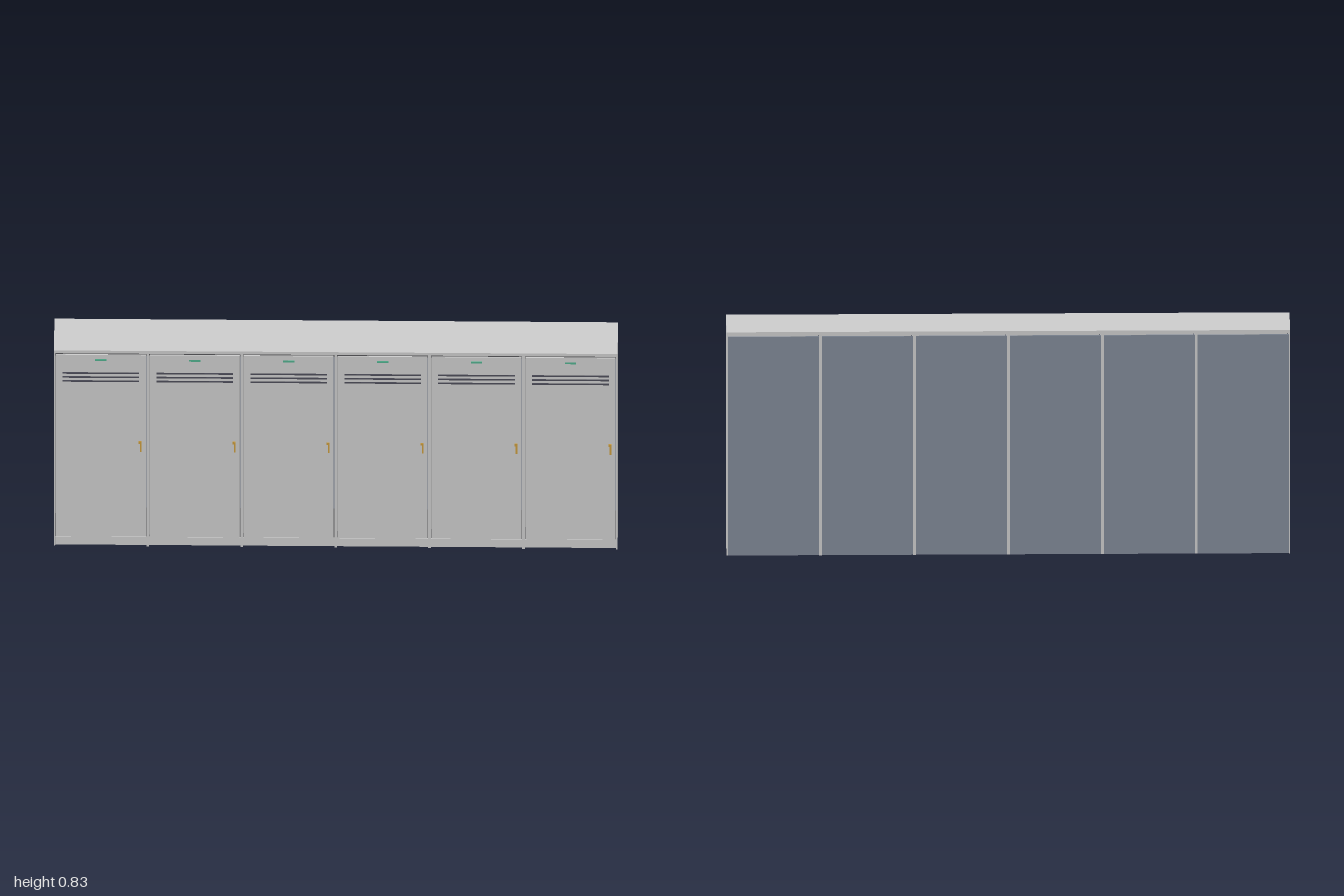
import * as THREE from 'three';

const material = (color) => new THREE.MeshStandardMaterial({ color });

export function createModel() {
  const root = new THREE.Group();
  root.name = 'lockerRow';
  const grey = material(0xcccccc);
  const backBlue = material(0x7f8896);
  const dark = material(0x555558);
  const slotGrey = material(0x4c4c58);
  const gold = material(0xc99a3c);
  const green = material(0x4fae8c);

  // Box given by its minimum and maximum corners
  const box = (parent, name, mat, [x0, y0, z0], [x1, y1, z1]) => {
    const mesh = new THREE.Mesh(new THREE.BoxGeometry(x1 - x0, y1 - y0, z1 - z0), mat);
    mesh.position.set((x0 + x1) / 2, (y0 + y1) / 2, (z0 + z1) / 2);
    mesh.name = name;
    parent.add(mesh);
    return mesh;
  };

  const count = 6, pitch = 2 / count;
  const back = -0.103, front = 0.1, height = 0.833, wall = 0.005;

  // Shared carcass: top and upright walls
  box(root, 'topPanel', grey, [-1, 0.821, back], [1, height, front]);
  for (let i = 0; i <= count; i++) {
    const x = -1 + i * pitch;
    const x0 = Math.max(-1, x - wall), x1 = Math.min(1, x + wall);
    box(root, i % count ? 'divider' : 'sidePanel', grey, [x0, 0, back], [x1, 0.821, front]);
  }

  for (let i = 0; i < count; i++) {
    const locker = new THREE.Group();
    locker.name = 'locker';
    locker.position.x = -1 + (i + 0.5) * pitch;
    root.add(locker);
    const inner = pitch / 2 - wall, door = inner - 0.002;

    // Closed compartment behind the door
    box(locker, 'backPanel', backBlue, [-inner, 0, back + 0.002], [inner, 0.815, back + 0.007]);
    box(locker, 'floorPanel', dark, [-inner, 0.001, back + 0.007], [inner, 0.035, 0.089]);
    box(locker, 'plinth', grey, [-inner, 0.001, 0.089], [inner, 0.035, 0.093]);
    box(locker, 'headRail', dark, [-inner, 0.808, 0.08], [inner, 0.821, 0.094]);
    box(locker, 'door', grey, [-door, 0.04, 0.09], [door, 0.814, 0.099]);

    // Vent slats, name plate and handle on the door
    for (const y of [0.703, 0.72, 0.737])
      box(locker, 'ventSlat', slotGrey, [-0.136, y - 0.003, 0.098], [0.136, y + 0.003, 0.1005]);
    box(locker, 'namePlate', green, [-0.02, 0.789, 0.098], [0.02, 0.796, 0.101]);
    box(locker, 'handle', gold, [0.139, 0.405, 0.098], [0.145, 0.448, 0.103]);
    box(locker, 'handleCap', gold, [0.134, 0.438, 0.098], [0.145, 0.448, 0.102]);
  }
  return root;
}
